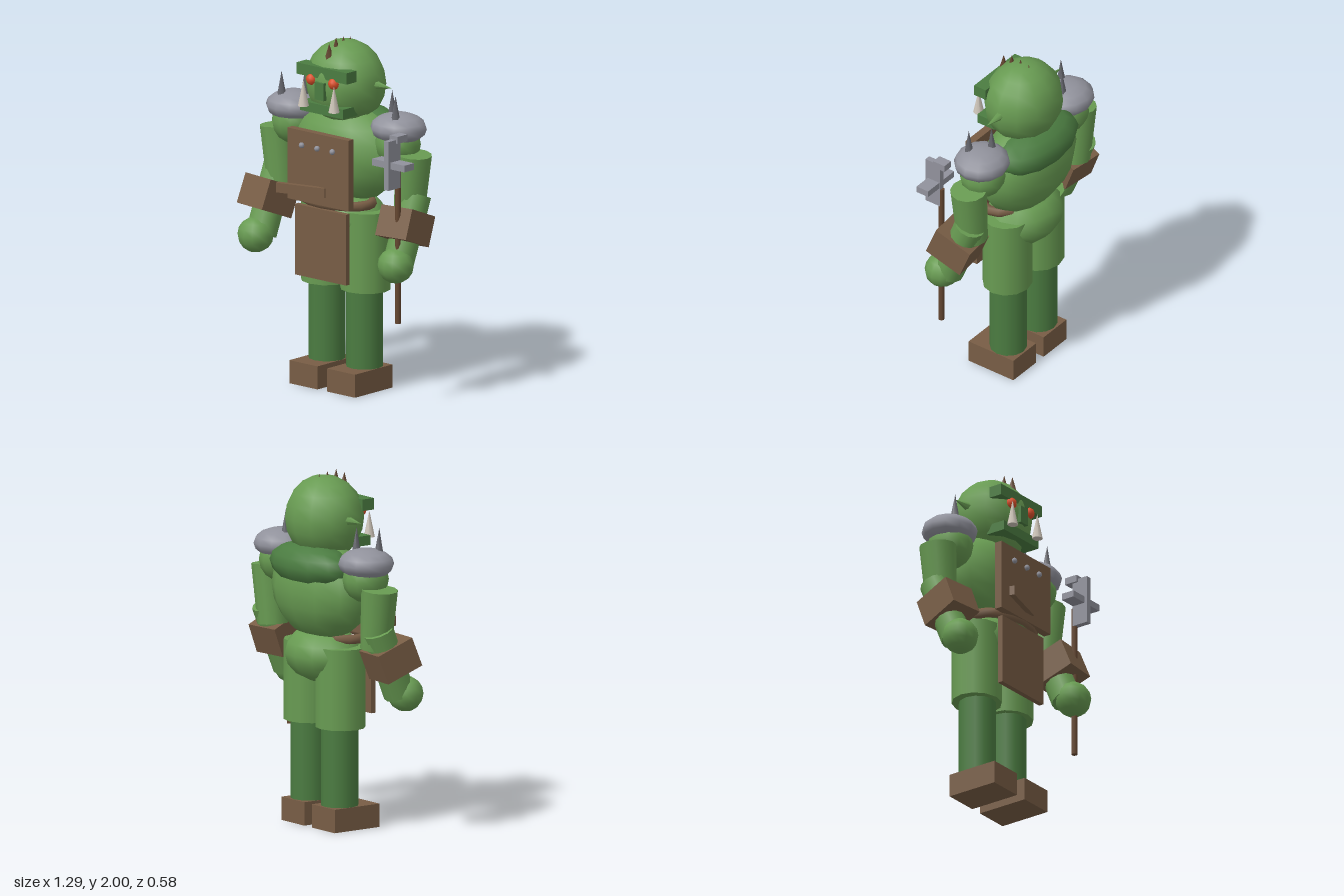
import * as THREE from 'three';

const mat = (name, color) => Object.assign(new THREE.MeshStandardMaterial({ color }), { name });

export function createModel() {
  const skin = mat('green skin', 0x689b52);
  const darkSkin = mat('dark green skin', 0x4b7c41);
  const leather = mat('brown leather', 0x785d45);
  const wood = mat('dark wood', 0x654731);
  const steel = mat('steel', 0x91929c);
  const darkSteel = mat('dark steel', 0x686970);
  const red = mat('red eye', 0xdc4f2a);
  const ivory = mat('ivory', 0xcfc6ba);

  const model = new THREE.Group();
  model.name = 'orcWarrior';
  const body = new THREE.Group();
  body.name = 'body';
  body.position.x = -0.018; // the axe makes the figure wider on its left
  model.add(body);

  const add = (name, geo, material, x, y, z, parent = body) => {
    const mesh = new THREE.Mesh(geo, material);
    mesh.name = name;
    mesh.position.set(x, y, z);
    parent.add(mesh);
    return mesh;
  };
  const box = (w, h, d) => new THREE.BoxGeometry(w, h, d);
  const ball = (rx, ry, rz, ws = 12, hs = 8) => new THREE.SphereGeometry(1, ws, hs).scale(rx, ry, rz);
  const cyl = (rt, rb, h, n = 12) => new THREE.CylinderGeometry(rt, rb, h, n);
  const cone = (r, h, n = 6) => new THREE.ConeGeometry(r, h, n);

  // Torso
  add('torso', ball(0.365, 0.28, 0.21, 12, 10), skin, 0, 1.335, -0.06);
  add('upperBackHump', ball(0.315, 0.13, 0.165, 12, 8), darkSkin, 0, 1.48, -0.13);
  add('pelvis', ball(0.25, 0.16, 0.2, 12, 8), skin, 0, 0.97, -0.045);
  const belt = new THREE.TorusGeometry(0.225, 0.028, 6, 16).rotateX(Math.PI / 2).scale(1, 1, 0.66);
  add('belt', belt, leather, 0, 1.075, 0.03);

  // Apron with rivets and tucked club
  add('chestApron', box(0.455, 0.405, 0.045), leather, 0, 1.273, 0.175);
  add('lowerApron', box(0.38, 0.405, 0.03), leather, 0, 0.838, 0.16);
  for (const x of [-0.115, 0, 0.113]) add('rivet', ball(0.017, 0.017, 0.017, 8, 6), steel, x, 1.393, 0.203);
  add('tuckedClub', box(0.3, 0.055, 0.03), leather, -0.088, 1.148, 0.235).rotation.y = 0.27;

  // Head and face
  add('head', ball(0.238, 0.238, 0.215, 12, 10), skin, 0, 1.738, -0.035);
  add('brow', box(0.375, 0.065, 0.08), darkSkin, 0, 1.817, 0.126);
  add('nose', box(0.068, 0.1, 0.08), darkSkin, 0, 1.717, 0.147);
  add('jaw', box(0.32, 0.055, 0.12), darkSkin, 0, 1.608, 0.105);

  // Row of spikes over the crown
  [[0.103, 1.977, 0.03], [0.046, 2, 0.03], [-0.015, 1.996, 0.03], [-0.072, 1.985, 0.025]].forEach(
    ([z, tip, r]) => add('crownSpike', cone(r, 0.1, 5), wood, 0, tip - 0.05, z));

  for (const s of [-1, 1]) {
    const side = s > 0 ? 'left' : 'right';

    // Face details
    add(`${side}Eye`, ball(0.033, 0.033, 0.033, 10, 8), red, s * 0.082, 1.769, 0.155);
    add(`${side}Tusk`, cone(0.031, 0.15, 8), ivory, s * 0.114, 1.692, 0.19);
    add(`${side}Ear`, cone(0.036, 0.17), skin, s * 0.257, 1.75, -0.038).rotation.z = -s * Math.PI / 2;

    // Legs
    add(`${side}Thigh`, cyl(0.146, 0.146, 0.455, 12).scale(1, 1, 0.94), skin, s * 0.146, 0.803, -0.035);
    add(`${side}Shin`, cyl(0.105, 0.105, 0.56, 12), darkSkin, s * 0.14, 0.39, -0.035);
    add(`${side}Boot`, box(0.21, 0.132, 0.31), leather, s * 0.14, 0.066, 0.006);

    // Shoulder armour
    add(`${side}Shoulder`, ball(0.13, 0.13, 0.13), skin, s * 0.385, 1.445, -0.04);
    add(`${side}Pauldron`, ball(0.163, 0.087, 0.154), steel, s * 0.39, 1.534, -0.04);
    add(`${side}InnerSpike`, cone(0.028, 0.15, 5), darkSteel, s * 0.326, 1.66, -0.058);
    add(`${side}OuterSpike`, cone(0.028, 0.15, 5), darkSteel, s * 0.425, 1.66, 0.025);

    // Arm
    add(`${side}UpperArm`, cyl(0.103, 0.088, 0.34), skin, s * 0.49, 1.235, -0.035).rotation.z = -s * 0.1;
    add(`${side}Forearm`, cyl(0.088, 0.088, 0.4), skin, s * 0.51, 0.985, 0.025).rotation.x = -0.38;
    add(`${side}Bracer`, box(0.21, 0.175, 0.235), leather, s * 0.51, 1.008, 0.04)
      .rotation.set(-0.38, s * 0.1, s * 0.05);
    add(`${side}Hand`, ball(0.104, 0.1, 0.1), skin, s * 0.522, 0.8, 0.133);
  }

  // Axe held in the left hand
  const axe = new THREE.Group();
  axe.name = 'axe';
  axe.position.x = 0.52;
  model.add(axe);
  add('axeHandle', cyl(0.017, 0.017, 0.89, 8), wood, 0, 0.915, 0.13, axe);
  add('axeBlade', box(0.034, 0.28, 0.1), steel, 0, 1.39, 0.178, axe);
  add('axeCrossbar', box(0.24, 0.038, 0.08), steel, 0, 1.39, 0.172, axe);
  add('axeTopBlock', box(0.06, 0.04, 0.08), steel, 0, 1.53, 0.126, axe);

  return model;
}
